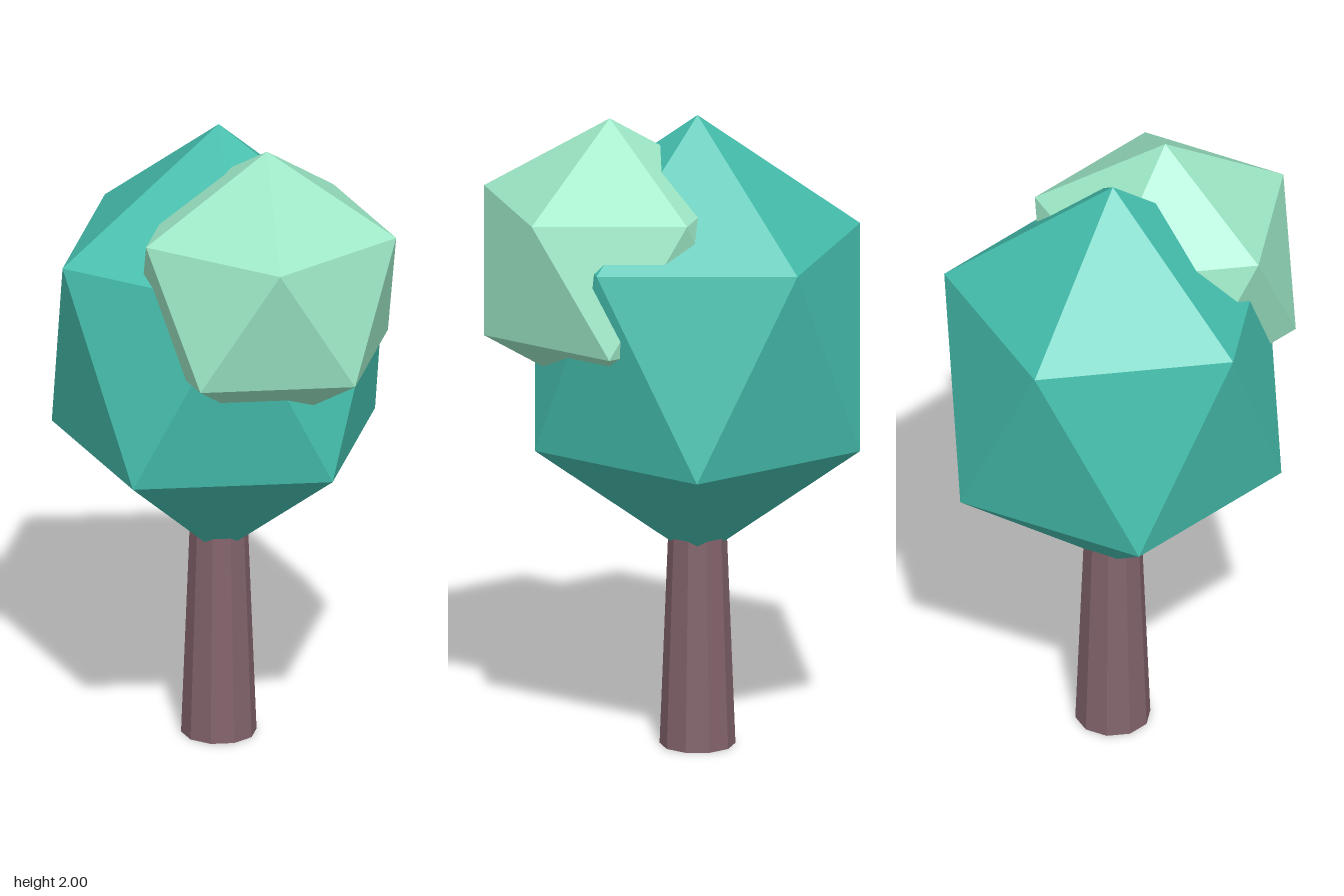
import * as THREE from 'three';

// Twenty-sided faceted clump: two poles and two staggered rings of five corners
function clumpGeometry(radius, halfHeight) {
  const ringY = halfHeight / Math.sqrt(5);
  const corner = (step, y) => {
    const a = (step * Math.PI) / 5;
    return [radius * Math.cos(a), y, radius * Math.sin(a)];
  };
  const top = [0, halfHeight, 0], bottom = [0, -halfHeight, 0];
  const pos = [];
  for (let i = 0; i < 5; i++) {
    const u0 = corner(2 * i, ringY), u1 = corner(2 * i + 2, ringY);
    const l0 = corner(2 * i + 1, -ringY), l1 = corner(2 * i + 3, -ringY);
    pos.push(...top, ...u1, ...u0); // cap
    pos.push(...u0, ...u1, ...l0); // belt
    pos.push(...u1, ...l1, ...l0);
    pos.push(...l0, ...l1, ...bottom); // underside
  }
  const geometry = new THREE.BufferGeometry();
  geometry.setAttribute('position', new THREE.Float32BufferAttribute(pos, 3));
  geometry.computeVertexNormals();
  return geometry;
}

export function createModel() {
  const tree = new THREE.Group();
  tree.name = 'tree';

  const add = (name, geometry, color, x, y, z) => {
    const material = new THREE.MeshStandardMaterial({ color, flatShading: true });
    const mesh = new THREE.Mesh(geometry, material);
    mesh.name = name;
    mesh.position.set(x, y, z);
    tree.add(mesh);
  };

  // Tapered ten-sided trunk, its top hidden in the foliage
  const trunkHeight = 0.74;
  add('trunk', new THREE.CylinderGeometry(0.087, 0.116, trunkHeight, 10), 0x82636b, -0.04, trunkHeight / 2, -0.04);

  // Tall main crown and the smaller, paler clump on its front left
  add('mainFoliage', clumpGeometry(0.522, 0.707), 0x45bfae, -0.04, 1.293, -0.04);
  add('smallFoliage', clumpGeometry(0.404, 0.452), 0x9de8c6, 0.152, 1.55, 0.152);

  return tree;
}
